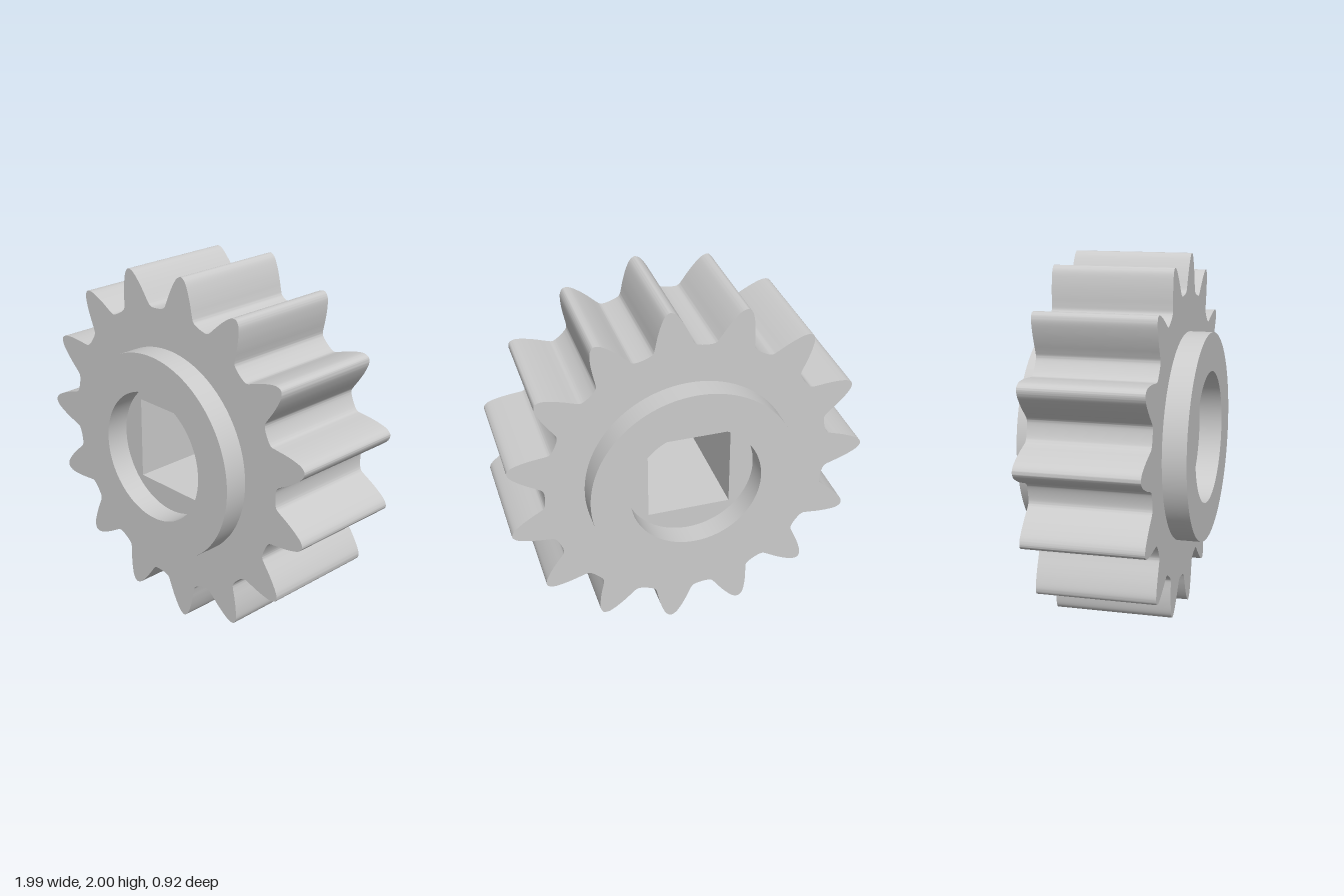
import * as THREE from 'three';
import { toCreasedNormals } from 'three/addons/utils/BufferGeometryUtils.js';

const TEETH = 15;
const GEAR_HALF = 0.328; // half the tooth width along z
const HUB_HALF = 0.458; // half the overall width including the collars
const HUB_R = 0.579;
const BORE_R = 0.365;
const SQUARE = 0.231; // half the side of the square shaft hole

// Half a tooth: [radius, degrees from the tooth's centre line], tip to root
const FLANK = [
  [1.0, 0.85], [0.985, 1.9], [0.937, 3.65], [0.88, 5.4],
  [0.83, 6.9], [0.806, 7.9], [0.796, 9.5],
];

// Closed smooth outline around all teeth, counter-clockwise
function toothOutline() {
  const tooth = [
    ...[...FLANK].reverse().map(([r, a]) => [r, -a]),
    [1.005, 0],
    ...FLANK,
  ];
  const points = [];
  for (let i = 0; i < TEETH; i++) {
    for (const [r, a] of tooth) {
      const t = Math.PI + (i * 2 * Math.PI) / TEETH + THREE.MathUtils.degToRad(a);
      points.push(new THREE.Vector3(r * Math.cos(t), r * Math.sin(t), 0));
    }
  }
  const curve = new THREE.CatmullRomCurve3(points, true, 'centripetal');
  const samples = curve.getPoints(points.length * 4).slice(0, -1);
  return samples.map((p) => new THREE.Vector2(p.x, p.y));
}

function extrude(shape, depth) {
  const geometry = new THREE.ExtrudeGeometry(shape, { depth, bevelEnabled: false, curveSegments: 72 });
  return toCreasedNormals(geometry, 0.6);
}

export function createModel() {
  const group = new THREE.Group();
  group.name = 'spurGear';
  const material = new THREE.MeshStandardMaterial({ color: 0xcccccc });

  const add = (name, geometry, z) => {
    const mesh = new THREE.Mesh(geometry, material);
    mesh.name = name;
    mesh.position.set(0.007, 1, z);
    group.add(mesh);
  };

  // Toothed body with the square shaft hole
  const body = new THREE.Shape(toothOutline());
  body.holes.push(new THREE.Path([
    new THREE.Vector2(-SQUARE, -SQUARE),
    new THREE.Vector2(-SQUARE, SQUARE),
    new THREE.Vector2(SQUARE, SQUARE),
    new THREE.Vector2(SQUARE, -SQUARE),
  ]));
  add('toothedBody', extrude(body, GEAR_HALF * 2), -GEAR_HALF);

  // Raised ring collars on both faces, round bore stopping at the body
  const ring = new THREE.Shape().absarc(0, 0, HUB_R, 0, Math.PI * 2, false);
  ring.holes.push(new THREE.Path().absarc(0, 0, BORE_R, 0, Math.PI * 2, true));
  const collar = extrude(ring, HUB_HALF - GEAR_HALF);
  add('frontCollar', collar, GEAR_HALF);
  add('backCollar', collar, -HUB_HALF);

  return group;
}
